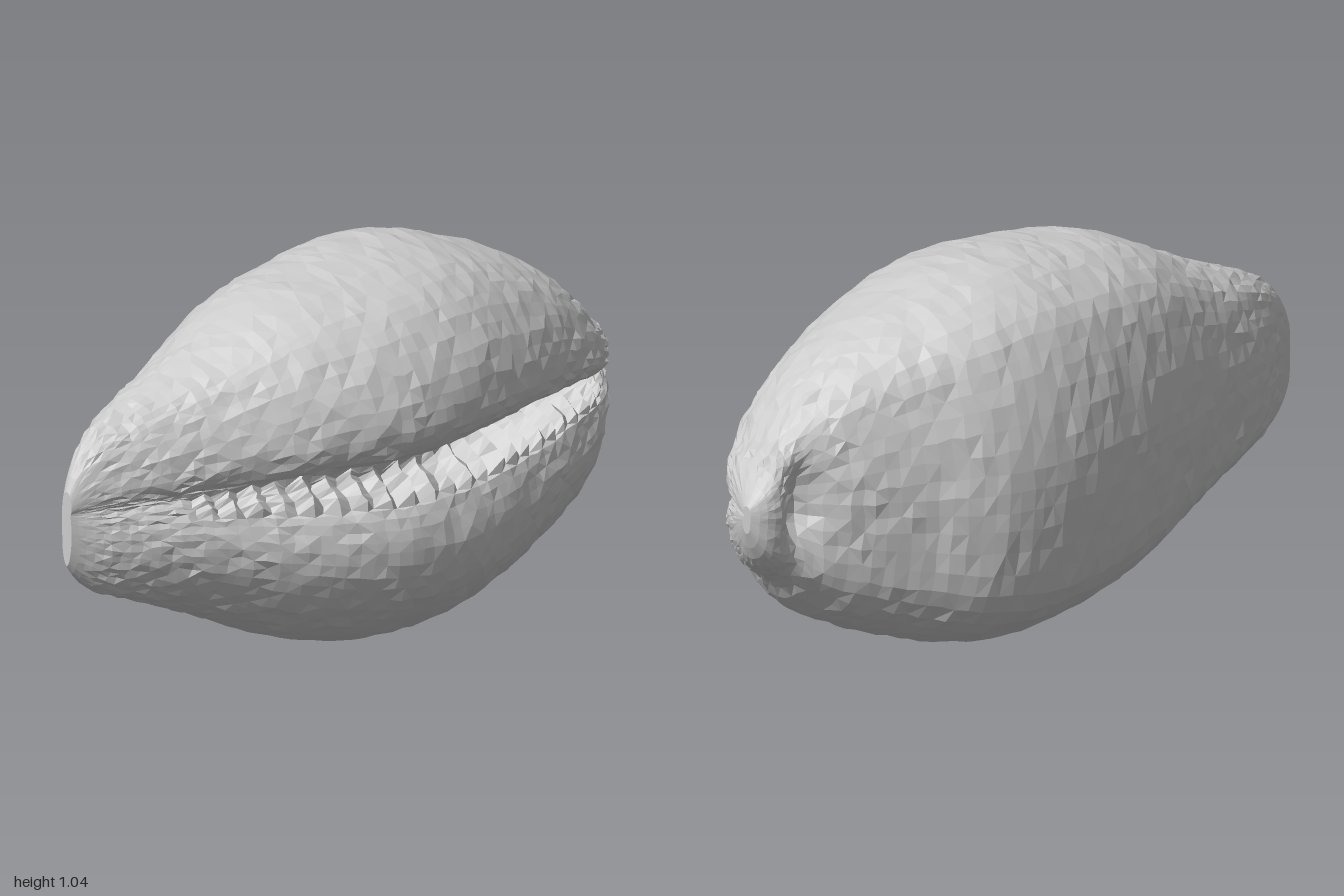
import * as THREE from 'three';

// Outline stations along the length: [x, top, bottom, frontZ, backZ]
const STATIONS = [
  [-1, 0.60, 0.40, -0.005, -0.04], [-0.97, 0.66, 0.36, 0.01, -0.06], [-0.9, 0.73, 0.31, 0.05, -0.1],
  [-0.8, 0.78, 0.27, 0.10, -0.15], [-0.6, 0.86, 0.19, 0.195, -0.22], [-0.35, 0.98, 0.08, 0.325, -0.31],
  [-0.15, 1.015, 0.025, 0.395, -0.37], [0.05, 1.035, 0.003, 0.4, -0.405], [0.2, 1.03, 0.005, 0.375, -0.405],
  [0.35, 0.995, 0.035, 0.335, -0.375], [0.5, 0.94, 0.085, 0.285, -0.29], [0.65, 0.86, 0.15, 0.23, -0.215],
  [0.75, 0.78, 0.21, 0.19, -0.165], [0.84, 0.695, 0.31, 0.13, -0.16], [0.92, 0.65, 0.36, 0.05, -0.16],
  [0.97, 0.605, 0.42, -0.03, -0.145], [1, 0.565, 0.49, -0.09, -0.12],
];

// Closed section starting in the slit, over the top, round the back and underneath: [z, y] in -1..1
const SECTION = [
  [0.72, 0], [0.75, 0.06], [0.91, 0.1], [1, 0.25], [0.95, 0.5], [0.75, 0.75], [0.5, 0.9], [0, 1],
  [-0.4, 0.96], [-0.75, 0.77], [-0.91, 0.47], [-1, 0.05], [-0.97, -0.3], [-0.86, -0.68], [-0.5, -0.91],
  [0, -1], [0.38, -0.95], [0.7, -0.81], [0.93, -0.6], [1, -0.38], [0.93, -0.2], [0.82, -0.08],
];

const SLIT_Y = 0.54;
const RINGS = 68;
const AROUND = 72;

// Smooth interpolation of the stations
function stationAt(x) {
  let k = 0;
  while (k < STATIONS.length - 2 && x > STATIONS[k + 1][0]) k++;
  const a = STATIONS[k], b = STATIONS[k + 1];
  const p = STATIONS[Math.max(k - 1, 0)], n = STATIONS[Math.min(k + 2, STATIONS.length - 1)];
  const h = b[0] - a[0], t = (x - a[0]) / h, t2 = t * t, t3 = t2 * t;
  return [1, 2, 3, 4].map((c) => {
    const ma = (b[c] - p[c]) / (b[0] - p[0]) * h, mb = (n[c] - a[c]) / (n[0] - a[0]) * h;
    return (2 * t3 - 3 * t2 + 1) * a[c] + (t3 - 2 * t2 + t) * ma + (3 * t2 - 2 * t3) * b[c] + (t3 - t2) * mb;
  });
}

// Repeatable roughness in -1..1
function rough(i, j) {
  const s = Math.sin(i * 127.1 + j * 311.7) * 43758.5453;
  return (s - Math.floor(s)) * 2 - 1;
}

function shellGeometry() {
  const curve = new THREE.CatmullRomCurve3(SECTION.map(([z, y]) => new THREE.Vector3(0, y, z)), true);
  const profile = Array.from({ length: AROUND }, (_, j) => curve.getPoint(j / AROUND));
  const positions = [], index = [];

  for (let i = 0; i <= RINGS; i++) {
    // rings gather towards the two ends
    const u = i / RINGS * 2 - 1;
    const x = 0.6 * u + 0.4 * Math.sin(u * Math.PI / 2);
    const [top, bottom, front, back] = stationAt(x);
    const mid = (front + back) / 2, half = (front - back) / 2;
    const ends = THREE.MathUtils.smoothstep(1 - Math.abs(x), 0, 0.12);
    const extraDepth = 0.2 * THREE.MathUtils.smoothstep(x, -0.1, 0.5);

    profile.forEach((p, j) => {
      let w = p.z, v = p.y;
      const inSlit = Math.max(0, 1 - Math.abs(v - 0.01) / 0.13) * (w > 0 ? 1 : 0);
      w -= inSlit * extraDepth;
      // ragged teeth along the lower lip
      if (w > 0 && v < 0.02 && v > -0.17 && x > -0.7 && x < 0.85) {
        const tooth = (i % 2 ? 1 : -1) * 0.03 + 0.02 * rough(i, 7);
        v += tooth;
        w += tooth * 0.8;
      }
      let z = mid + w * half;
      const y = SLIT_Y + v * (v > 0 ? top - SLIT_Y : SLIT_Y - bottom);
      // hollow between the back of the body and the end spout
      if (w < 0) {
        const hollow = Math.exp(-(((x - 0.82) / 0.06) ** 2) - ((y - 0.52) / 0.13) ** 2);
        z += 0.09 * hollow * -w;
      }
      const r = 0.006 * ends;
      positions.push(x + r * rough(i, j), y + r * rough(i + 99, j) * 0.6, z + r * rough(i, j + 99) * 0.6);
    });
  }

  // skin between rings
  for (let i = 0; i < RINGS; i++) {
    for (let j = 0; j < AROUND; j++) {
      const k = (j + 1) % AROUND;
      const a = i * AROUND + j, b = a + AROUND, c = i * AROUND + k, d = c + AROUND;
      if ((i + j) % 2) index.push(a, b, d, a, d, c);
      else index.push(a, b, c, b, d, c);
    }
  }

  // close both tips
  const first = positions.length / 3;
  positions.push(-1, 0.5, -0.022, 1, 0.53, -0.105);
  const last = RINGS * AROUND;
  for (let j = 0; j < AROUND; j++) {
    const k = (j + 1) % AROUND;
    index.push(first, j, k, first + 1, last + k, last + j);
  }

  const geometry = new THREE.BufferGeometry();
  geometry.setAttribute('position', new THREE.Float32BufferAttribute(positions, 3));
  geometry.setIndex(index);
  geometry.computeVertexNormals();
  return geometry;
}

export function createModel() {
  const group = new THREE.Group();
  group.name = 'seaShell';
  const material = new THREE.MeshStandardMaterial({ color: 0xcccccc, flatShading: true, side: THREE.DoubleSide });
  const shell = new THREE.Mesh(shellGeometry(), material);
  shell.name = 'shellBody';
  group.add(shell);
  return group;
}
